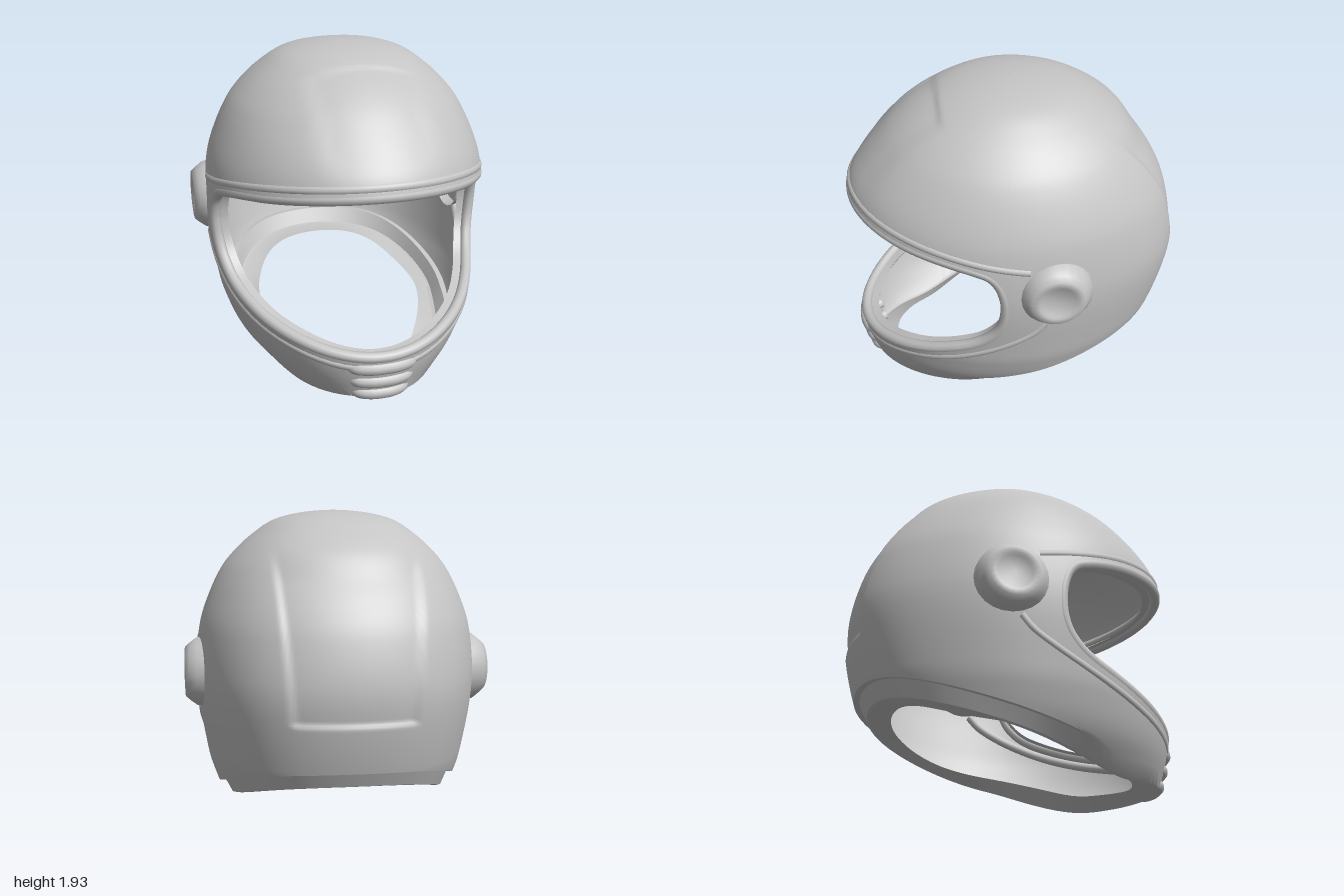
import * as THREE from 'three';
import { mergeGeometries, toCreasedNormals } from 'three/addons/utils/BufferGeometryUtils.js';

const { smoothstep, lerp } = THREE.MathUtils;
const H = 1.945;
const sOf = (y) => Math.sqrt(Math.max(0, 1 - y / H)); // 0 at the crown, 1 at the ground

// Smooth interpolation of column c in a table sorted by its first entry
function sample(t, x, c) {
  let i = 0;
  while (i < t.length - 2 && x > t[i + 1][0]) i++;
  const slope = (k) => {
    const a = t[Math.max(0, k - 1)], b = t[Math.min(t.length - 1, k + 1)];
    return (b[c] - a[c]) / (b[0] - a[0]);
  };
  const h = t[i + 1][0] - t[i][0], p = (x - t[i][0]) / h, q = 1 - p;
  return t[i][c] * (1 + 2 * p) * q * q + slope(i) * h * p * q * q
    + t[i + 1][c] * p * p * (3 - 2 * p) - slope(i + 1) * h * p * p * q;
}

// Horizontal sections: height, half width, reach to the front, reach to the back
const SECTIONS = [
  [H, 0, 0, 0], [1.9, 0.33, 0.32, 0.33], [1.8, 0.5, 0.55, 0.54], [1.7, 0.61, 0.69, 0.67],
  [1.6, 0.69, 0.79, 0.76], [1.4, 0.785, 0.945, 0.9], [1.25, 0.83, 0.995, 0.965],
  [1.0, 0.855, 1.0, 1.015], [0.8, 0.845, 1.0, 1.0], [0.52, 0.8, 1.0, 0.93],
  [0.39, 0.77, 0.995, 0.865], [0.2, 0.69, 0.965, 0.77], [0, 0.53, 0.91, 0.65],
].map(([y, ...r]) => [sOf(y), ...r]);

// Height of the slanted lower edge by z
const BOTTOM = [[-1, 0.43], [-0.83, 0.39], [-0.2, 0.2], [0.3, 0.07], [0.55, 0.01], [0.75, 0.015], [1, 0.04]];

// Point on the plain shell; u runs round from the front, s from crown to ground
function base(u, s) {
  const c = Math.cos(u), back = c < 0;
  const x = sample(SECTIONS, s, 1) * Math.sin(u) * (back ? 1 + 0.2 * c ** 4 : 1);
  return new THREE.Vector3(x, H * (1 - s * s), c * sample(SECTIONS, s, back ? 3 : 2));
}

// Sunken rear panel and the shallow step on the forehead
function relief({ x, y, z }) {
  const ax = Math.abs(x), w = 0.33 + 0.08 * (y - 0.8);
  if (z < 0) {
    return 0.02 * (1 - smoothstep(ax, w - 0.02, w + 0.03)) * smoothstep(y, 0.785, 0.815)
      * (1 - smoothstep(y, 1.55, 1.73));
  }
  return 0.012 * smoothstep(z, 0.41, 0.45) * (1 - smoothstep(ax, 0.26, 0.34)) * smoothstep(y, 1.3, 1.5);
}

// Shell point moved inward along the normal
function at(u, s, inset = 0) {
  const e = 0.001, p = base(u, s);
  const du = base(u + e, s).sub(base(u - e, s));
  const ds = base(u, s + e).sub(base(u, Math.max(0.0005, s - e)));
  const n = ds.cross(du).normalize();
  return p.addScaledVector(n, -inset - relief(p));
}

// Lower edge, or a line at a height above it
function bottomS(u, lift) {
  let y = 0.2;
  for (let i = 0; i < 14; i++) y = sample(BOTTOM, base(u, sOf(y)).z, 1) + lift;
  return sOf(Math.max(0, y));
}

// Face opening as [cosine of u, height], from the front to the side
const curve2 = (pts) => new THREE.SplineCurve(pts.map((p) => new THREE.Vector2(...p)));
const APEX = [0.135, 0.9];
const BROW = curve2([[1, 1.28], [0.75, 1.235], [0.5, 1.195], [0.3, 1.15], [0.2, 1.1], [0.15, 1.0], APEX]);
const CHIN = curve2([[1, 0.31], [0.8, 0.38], [0.6, 0.45], [0.4, 0.53], [0.28, 0.59], [0.19, 0.68], [0.145, 0.78], APEX]);

// [u, s] samples along such a curve
function edge(curve, n) {
  return Array.from({ length: n + 1 }, (_, k) => {
    const p = curve.getPoint(1 - Math.cos((k / n) * Math.PI / 2));
    return [Math.acos(Math.min(1, p.x)), sOf(p.y)];
  });
}
const mirror = (list) => [...list.slice(1).reverse().map(([u, s]) => [-u, s]), ...list];

// Rows [s, inset] of a column above the edge, and below it down to the turned-in hem
const ROWS_UP = 60, ROWS_LOW = 30, FLANGE = 0.11;
const upper = (sE) => Array.from({ length: ROWS_UP + 1 }, (_, j) => [lerp(0.001, sE, j / ROWS_UP), 0]);
function lower(u, sE) {
  const sB = bottomS(u, 0), sG = Math.min(sB - 0.004, bottomS(u, 0.11));
  const lip = 0.035 * (1 - smoothstep(base(u, sG).z, 0, 0.45));
  const rows = Array.from({ length: ROWS_LOW + 1 }, (_, j) => [lerp(sE, sG, j / ROWS_LOW), 0]);
  const hem = 0.014 * smoothstep(-Math.cos(u), -0.2, 0.6);
  rows.push([sG + 0.003, lip], [sB - 0.004, lip], [sB, lip + 0.015], [sB + hem, 0.16]);
  return rows;
}

// Skin a list of columns of points
function skin(columns) {
  const rows = columns[0].length, pos = [], index = [];
  columns.forEach((col) => col.forEach((p) => pos.push(p.x, p.y, p.z)));
  for (let i = 0; i < columns.length - 1; i++) {
    for (let j = 0; j < rows - 1; j++) {
      const a = i * rows + j, b = a + rows;
      index.push(a, a + 1, b + 1, a, b + 1, b);
    }
  }
  const g = new THREE.BufferGeometry();
  g.setAttribute('position', new THREE.Float32BufferAttribute(pos, 3));
  g.setIndex(index);
  return g;
}

export function createModel() {
  const group = new THREE.Group();
  const grey = new THREE.MeshStandardMaterial({ color: 0xc4c4c4, side: THREE.DoubleSide });
  grey.name = 'shell grey';
  const add = (name, geometry) => {
    const mesh = new THREE.Mesh(geometry, grey);
    mesh.name = name;
    group.add(mesh);
    return mesh;
  };
  const place = (u, rows) => rows.map(([s, inset]) => at(u, s, inset));

  // Thin shell: dome over the opening, chin bar below it, and the closed back;
  // the edges of the opening and the hem turn inward
  const brow = edge(BROW, 26), chin = edge(CHIN, 26);
  const dome = mirror(brow).map(([u, s]) => place(u, [...upper(s), [s, FLANGE]]));
  const bar = mirror(chin).map(([u, s]) => place(u, [[s, FLANGE], ...lower(u, s)]));
  const [u0, s0] = brow[brow.length - 1];
  const back = Array.from({ length: 151 }, (_, i) => {
    const u = lerp(u0, 2 * Math.PI - u0, i / 150);
    return place(u, [...upper(s0), ...lower(u, s0).slice(1)]);
  });
  add('shell', toCreasedNormals(mergeGeometries([skin(dome), skin(bar), skin(back)]), 0.7));

  // Rolled rim round the face opening
  const half = [...edge(BROW, 12), ...edge(CHIN, 12).reverse().slice(1)];
  const loop = [...half, ...half.slice(1, -1).reverse().map(([u, s]) => [-u, s])];
  const rimPath = new THREE.CatmullRomCurve3(loop.map(([u, s]) => at(u, s, 0.03)), true);
  add('openingRim', new THREE.TubeGeometry(rimPath, 200, 0.034, 10, true));

  // Low trim lines above and below the opening
  const trims = {
    browTrim: [[1, 1.33], [0.75, 1.29], [0.5, 1.245], [0.2, 1.185], [0, 1.15]],
    chinTrim: [[1, 0.25], [0.8, 0.32], [0.6, 0.385], [0.4, 0.46], [0.2, 0.55], [0, 0.66], [-0.1, 0.76]],
  };
  for (const [name, pts] of Object.entries(trims)) {
    const path = new THREE.CatmullRomCurve3(mirror(edge(curve2(pts), 12)).map(([u, s]) => at(u, s, 0.02)));
    add(name, new THREE.TubeGeometry(path, 120, 0.028, 12));
  }

  // Chin vent ribs, with ends sunk into the shell
  for (const y of [0.25, 0.155, 0.065]) {
    const pts = [-1, -0.8, -0.4, 0, 0.4, 0.8, 1].map((t) => at(t * 0.29, sOf(y), 0.008 + 0.04 * t ** 6));
    add('chinVentRib', new THREE.TubeGeometry(new THREE.CatmullRomCurve3(pts), 32, 0.037, 10));
  }

  // Visor pivots on both sides
  const profile = [[0.22, 0.76], [0.205, 0.85], [0.175, 0.89], [0.15, 0.918], [0.115, 0.92], [0.1, 0.908], [0, 0.91]];
  const lathe = new THREE.LatheGeometry(profile.map((p) => new THREE.Vector2(...p)), 24);
  const disc = toCreasedNormals(lathe, 0.8);
  for (const side of [1, -1]) {
    const pivot = add(side > 0 ? 'leftPivot' : 'rightPivot', disc);
    pivot.rotation.z = -side * Math.PI / 2;
    pivot.position.set(0, 0.98, -0.15);
  }
  return group;
}
